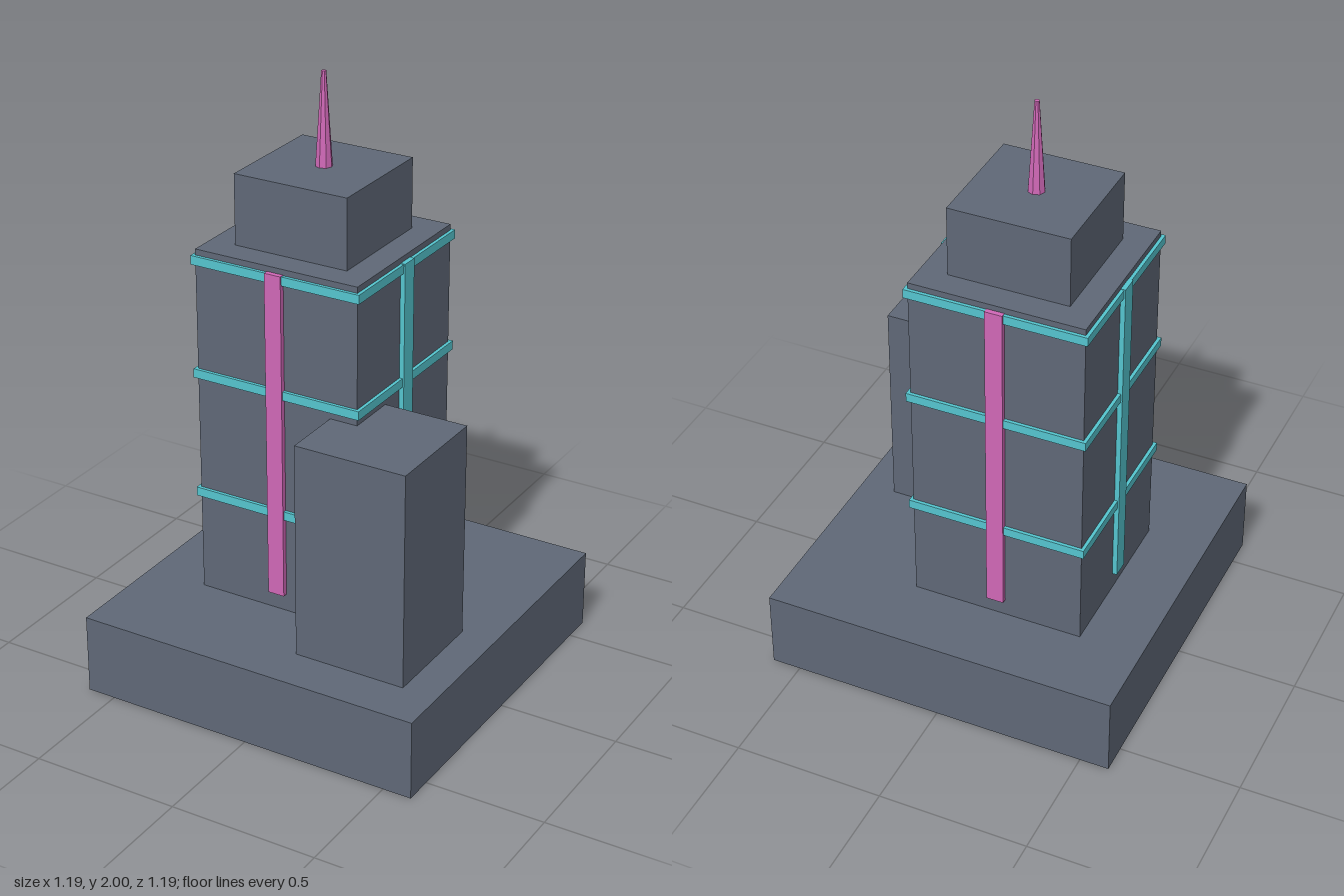
import * as THREE from 'three';

const slate = new THREE.MeshStandardMaterial({ name: 'slate', color: 0x5f6877, side: THREE.DoubleSide });
const cyan = new THREE.MeshStandardMaterial({ name: 'cyan trim', color: 0x55c5cf });
const pink = new THREE.MeshStandardMaterial({ name: 'pink trim', color: 0xd068b7, flatShading: true });

// Shared centre line of the tower, crown and spire
const TX = -0.098, TZ = -0.059;

export function createModel() {
  const model = new THREE.Group();
  model.name = 'skyscraper';

  function add(name, geometry, material, x, y, z) {
    const mesh = new THREE.Mesh(geometry, material);
    mesh.name = name;
    mesh.position.set(x, y, z);
    model.add(mesh);
    return mesh;
  }

  // Box between two heights
  function box(name, material, w, d, y0, y1, x, z) {
    return add(name, new THREE.BoxGeometry(w, y1 - y0, d), material, x, (y0 + y1) / 2, z);
  }

  // Building shell: a box with its bottom face removed
  function shell(name, ...size) {
    const g = box(name, slate, ...size).geometry;
    const index = Array.from(g.index.array);
    index.splice(18, 6);
    g.setIndex(index);
    g.clearGroups();
  }

  // Building masses
  shell('base', 1.194, 1.194, 0, 0.27, 0, 0);
  shell('tower', 0.578, 0.578, 0.23, 1.46, TX, TZ);
  shell('crown', 0.4, 0.4, 1.44, 1.695, TX, TZ);
  shell('annex', 0.383, 0.383, 0.23, 1.0, 0.287, 0.249);

  // Horizontal light bands around the tower
  for (const y of [0.62, 1.04, 1.425]) {
    box('band', cyan, 0.6, 0.6, y - 0.015, y + 0.015, TX, TZ);
  }

  // Vertical light strips, one on each tower face
  for (const s of [-1, 1]) {
    box('sideStrip', cyan, 0.018, 0.058, 0.33, 1.442, TX + s * 0.296, TZ);
    box('faceStrip', pink, 0.058, 0.018, 0.33, 1.442, TX, TZ + s * 0.297);
  }

  // Tapered spire
  add('spire', new THREE.CylinderGeometry(0.008, 0.028, 0.31, 8), pink, TX, 1.845, TZ);

  return model;
}
